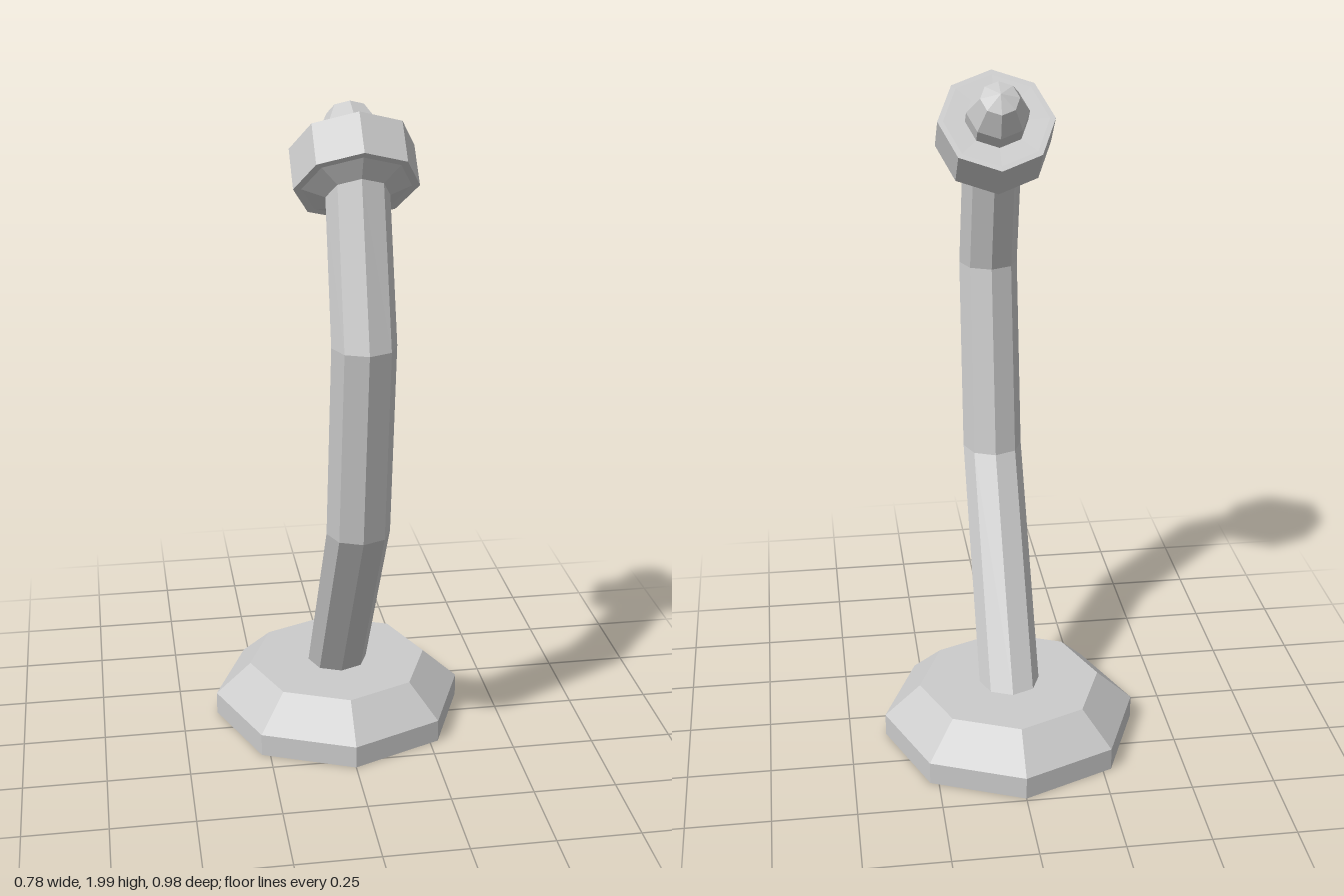
import * as THREE from 'three';

const SIDES = 8;
const TILT = 0.76; // backward lean of the head axis
const HEAD = { y: 1.83, z: 0.22 };

const material = new THREE.MeshStandardMaterial({
  color: 0xcccccc, flatShading: true, side: THREE.DoubleSide,
});

// A ring of the cross-section: centre height, centre depth, radius, backward tilt
const ring = (y, z, r, tilt = 0) => ({ y, z, r, tilt });

// A ring on the head axis, at a distance along it from the head centre
const headRing = (along, r) =>
  ring(HEAD.y + along * Math.cos(TILT), HEAD.z - along * Math.sin(TILT), r, TILT);

// Joins octagonal rings into an open faceted skin
function loft(name, rings) {
  const points = rings.map(({ y, z, r, tilt }) =>
    Array.from({ length: SIDES }, (_, j) => {
      const a = (j / SIDES) * Math.PI * 2;
      const s = r * Math.sin(a);
      return [r * Math.cos(a), y + s * Math.sin(tilt), z + s * Math.cos(tilt)];
    }));
  const positions = [];
  for (let i = 0; i < rings.length - 1; i++) {
    for (let j = 0; j < SIDES; j++) {
      const k = (j + 1) % SIDES;
      const a = points[i][j], b = points[i][k];
      const c = points[i + 1][j], d = points[i + 1][k];
      if (rings[i + 1].r > 0) positions.push(...a, ...c, ...d);
      positions.push(...a, ...d, ...b);
    }
  }
  const geometry = new THREE.BufferGeometry();
  geometry.setAttribute('position', new THREE.Float32BufferAttribute(positions, 3));
  geometry.computeVertexNormals();
  const mesh = new THREE.Mesh(geometry, material);
  mesh.name = name;
  return mesh;
}

export function createModel() {
  const group = new THREE.Group();
  group.name = 'lever';

  // Hollow foot, open underneath, with an opening where the stem starts
  group.add(loft('base', [
    ring(0, -0.1, 0.39),
    ring(0.07, -0.1, 0.39),
    ring(0.17, -0.1, 0.28),
    ring(0.17, -0.1, 0.093),
  ]));

  // Bent stem
  group.add(loft('stem', [
    ring(0.17, -0.1, 0.093),
    ring(0.795, 0.31, 0.092),
    ring(1.38, 0.397, 0.09),
    headRing(-0.09, 0.088),
  ]));

  // Tilted collar
  group.add(loft('head', [
    headRing(-0.09, 0.088),
    headRing(-0.063, 0.15),
    headRing(-0.063, 0.172),
    headRing(0.063, 0.172),
    headRing(0.063, 0.155),
    headRing(0.06, 0.09),
  ]));

  // Domed button on the collar
  group.add(loft('knob', [
    headRing(0.06, 0.092),
    headRing(0.105, 0.092),
    headRing(0.173, 0.057),
    headRing(0.195, 0),
  ]));

  return group;
}
